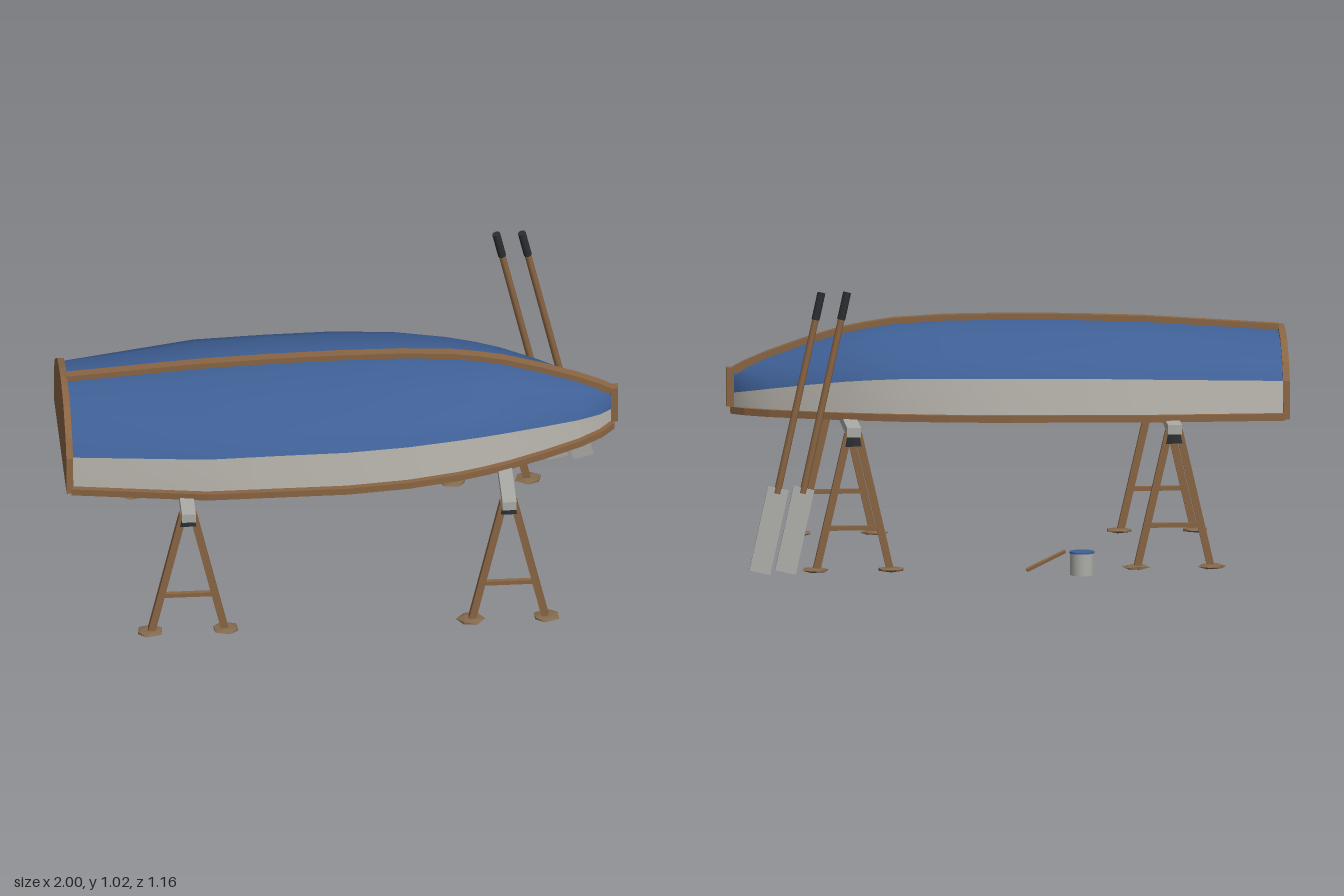
import * as THREE from 'three';

const mat = (name, color) => Object.assign(new THREE.MeshStandardMaterial({ color }), { name });
const V = (x, y, z) => new THREE.Vector3(x, y, z);

// Hull stations: x, half width, rim height, crown height
const STATIONS = [
  [-0.98, 0.31, 0.53, 0.802], [-0.5, 0.395, 0.54, 0.835], [-0.25, 0.398, 0.543, 0.844],
  [0, 0.398, 0.544, 0.848], [0.22, 0.375, 0.544, 0.846], [0.4, 0.335, 0.543, 0.836],
  [0.5, 0.302, 0.542, 0.821], [0.59, 0.265, 0.54, 0.803], [0.72, 0.2, 0.537, 0.765],
  [0.85, 0.127, 0.534, 0.72], [0.93, 0.066, 0.532, 0.686], [0.975, 0.01, 0.53, 0.662],
];
// Half section from rim to crown: fraction of width, fraction of height
const SECTION = [[1, 0], [0.957, 0.465], [0.83, 0.675], [0.5, 0.91], [0.19, 0.988], [0, 1]];
const LOOP = [...SECTION, ...SECTION.slice(0, -1).reverse().map(([w, h]) => [-w, h])];
const MID = 0.07; // z of the boat's centre line

// Smooth skin through the stations, using part of the section loop
function skin(from, to, inset = 0, inward = false) {
  const part = LOOP.slice(from, to + 1), n = part.length, pos = [], idx = [];
  STATIONS.forEach(([x, w, r, t], i) => {
    const hw = Math.max(w - inset, 0.002);
    part.forEach(([fw, fh]) => pos.push(x, r + (t - inset - r) * fh, MID + hw * fw));
    if (!i) return;
    for (let j = 0; j < n - 1; j++) {
      const a = (i - 1) * n + j, b = i * n + j;
      idx.push(...(inward ? [a, a + 1, b, b, a + 1, b + 1] : [a, b, a + 1, b, b + 1, a + 1]));
    }
  });
  const g = new THREE.BufferGeometry();
  g.setAttribute('position', new THREE.Float32BufferAttribute(pos, 3));
  g.setIndex(idx);
  g.computeVertexNormals();
  return g;
}

// Rectangular batten swept along points; a is the half size along ref, b the other half size
function batten(points, ref, a, b) {
  const pos = [], idx = [], last = points.length - 1;
  points.forEach((p, i) => {
    const tangent = points[Math.min(i + 1, last)].clone().sub(points[Math.max(i - 1, 0)]);
    const side = tangent.cross(ref).normalize();
    for (const [u, v] of [[1, 1], [-1, 1], [-1, -1], [1, -1]]) {
      const c = p.clone().addScaledVector(ref, u * a).addScaledVector(side, v * b);
      pos.push(c.x, c.y, c.z);
    }
    if (!i) return;
    for (let j = 0; j < 4; j++) {
      const k = (j + 1) % 4, s = (i - 1) * 4, e = i * 4;
      idx.push(s + j, s + k, e + j, s + k, e + k, e + j);
    }
  });
  const e = last * 4;
  idx.push(0, 2, 1, 0, 3, 2, e, e + 1, e + 2, e, e + 2, e + 3);
  let g = new THREE.BufferGeometry();
  g.setAttribute('position', new THREE.Float32BufferAttribute(pos, 3));
  g.setIndex(idx);
  g = g.toNonIndexed();
  g.computeVertexNormals();
  return g;
}

export function createModel() {
  const model = new THREE.Group();
  model.name = 'upturnedBoat';
  const blue = mat('bluePaint', 0x3f6096);
  const hullGrey = mat('hullGrey', 0xb7b3ac);
  const wood = mat('wood', 0x8a6543);
  const metal = mat('paleGrey', 0xacaca8);
  const black = mat('blackRubber', 0x2c2e31);
  const footWood = mat('footBrown', 0x83694d);

  const add = (parent, name, geo, material, x = 0, y = 0, z = 0) => {
    const m = new THREE.Mesh(geo, material);
    m.name = name;
    m.position.set(x, y, z);
    parent.add(m);
    return m;
  };
  const group = (name, parent = model) => {
    const g = new THREE.Group();
    g.name = name;
    parent.add(g);
    return g;
  };
  const box = (x, y, z) => new THREE.BoxGeometry(x, y, z);
  // Straight square bar between two points
  const bar = (parent, name, a, b, w, d, material) => {
    const m = add(parent, name, box(w, a.distanceTo(b), d), material);
    m.position.copy(a).add(b).multiplyScalar(0.5);
    m.quaternion.setFromUnitVectors(V(0, 1, 0), b.clone().sub(a).normalize());
    return m;
  };

  // Hull skins: blue bottom, grey topsides, grey inside
  const boat = group('boat');
  add(boat, 'blueBottom', skin(1, 9), blue);
  add(boat, 'leftTopside', skin(0, 1), hullGrey);
  add(boat, 'rightTopside', skin(9, 10), hullGrey);
  add(boat, 'hullInside', skin(0, 10, 0.012, true), hullGrey);

  // Rim battens, keel and stem
  for (const s of [1, -1]) {
    const line = STATIONS.map(([x, w, r]) => V(x, r, MID + s * (w + 0.006)));
    add(boat, s > 0 ? 'leftGunwale' : 'rightGunwale', batten(line, V(0, 1, 0), 0.0125, 0.014), wood);
  }
  const keelLine = STATIONS.map(([x, , , t]) => V(x, t + 0.007, MID));
  add(boat, 'keel', batten(keelLine, V(0, 0, 1), 0.018, 0.013), wood);
  add(boat, 'stem', box(0.026, 0.14, 0.036), wood, 0.987, 0.612, MID);

  // Transom board closing the stern
  const [, tw, tr, tt] = STATIONS[0];
  const board = new THREE.Shape(LOOP.map(([w, h]) =>
    new THREE.Vector2(-w * (tw + 0.012), tr - 0.01 + (tt - tr + 0.024) * h)));
  const transom = add(boat, 'transom',
    new THREE.ExtrudeGeometry(board, { depth: 0.024, bevelEnabled: false }), wood, -1, 0, MID);
  transom.rotation.y = Math.PI / 2;

  // Triangular plate inside the bow
  const tri = new THREE.Shape([[0.97, 0], [0.81, 0.09], [0.81, -0.09]].map(p => new THREE.Vector2(...p)));
  const hook = add(boat, 'breasthook',
    new THREE.ExtrudeGeometry(tri, { depth: 0.015, bevelEnabled: false }), blue, 0, 0.537, MID);
  hook.rotation.x = Math.PI / 2;

  // Two trestles, each a beam on two pairs of splayed legs
  [-0.575, 0.575].forEach((x, t) => {
    const trestle = group(t ? 'bowTrestle' : 'sternTrestle');
    trestle.position.x = x;
    add(trestle, 'beam', box(0.05, 0.034, 1.025), metal, 0, 0.515, 0.068);
    [0.53, -0.39].forEach((z, e) => {
      const bracket = add(trestle, 'bracket', new THREE.CylinderGeometry(0.03, 0.041, 0.045, 4, 1, false, Math.PI / 4),
        black, 0, 0.482, z);
      bracket.scale.z = 0.6;
      bar(trestle, 'crossbar', V(-0.095, 0.163, z), V(0.095, 0.163, z), 0.016, 0.016, wood);
      for (const s of [1, -1]) {
        bar(trestle, 'leg', V(s * 0.132, 0.012, z), V(s * 0.018, 0.505, z), 0.026, 0.027, wood);
        const geo = new THREE.IcosahedronGeometry(1, 0);
        geo.rotateY(1.3 * s + 2.1 * e + 0.7 * t);
        geo.scale(0.053, 0.01, 0.044);
        geo.computeVertexNormals();
        add(trestle, 'foot', geo, footWood, s * 0.136, 0.013, z);
      }
    });
  });

  // Two leaning oars: local y runs up the shaft, blade faces local z
  [0.6, 0.692].forEach((x, i) => {
    const oar = group(i ? 'secondOar' : 'firstOar');
    const top = V(x, 1.022, -0.438), tip = V(x + 0.226, 0.022, -0.508);
    const up = top.clone().sub(tip), length = up.length();
    up.normalize();
    const side = V(up.y, -up.x, 0).normalize();
    oar.position.copy(tip);
    oar.quaternion.setFromRotationMatrix(
      new THREE.Matrix4().makeBasis(side, up, side.clone().cross(up)));
    add(oar, 'blade', box(0.076, 0.31, 0.011), metal, 0, 0.155, 0);
    add(oar, 'shaft', new THREE.CylinderGeometry(0.012, 0.013, length - 0.34, 8), wood, 0, (length + 0.24) / 2, 0);
    add(oar, 'grip', new THREE.CylinderGeometry(0.0145, 0.0145, 0.1, 8), black, 0, length - 0.05, 0);
  });

  // Paint tin with a brush beside it
  const tin = group('paintTin');
  tin.position.set(-0.235, 0, -0.538);
  add(tin, 'tinBody', new THREE.CylinderGeometry(0.042, 0.042, 0.08, 20), metal, 0, 0.048, 0);
  add(tin, 'paintSurface', new THREE.CylinderGeometry(0.045, 0.045, 0.006, 20), blue, 0, 0.09, 0);
  bar(model, 'brushHandle', V(-0.175, 0.094, -0.54), V(-0.035, 0.03, -0.566), 0.01, 0.014, wood);

  return model;
}
